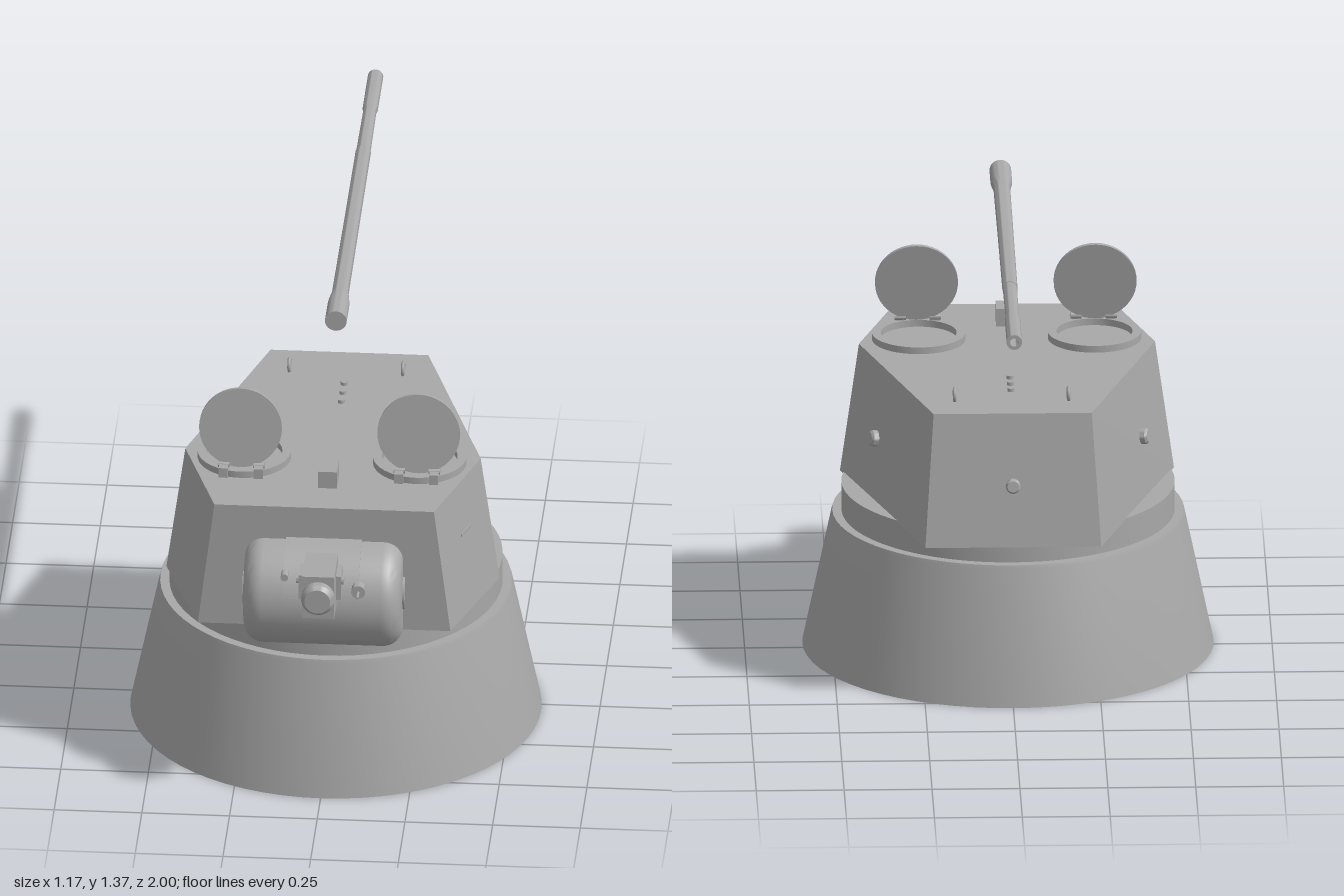
import * as THREE from 'three';
import { toCreasedNormals } from 'three/addons/utils/BufferGeometryUtils.js';
import { ConvexGeometry } from 'three/addons/geometries/ConvexGeometry.js';

export function createModel() {
  const model = new THREE.Group();
  const steel = new THREE.MeshStandardMaterial({ color: 0xa8a8a8 });
  steel.name = 'grey steel';

  const add = (name, geometry, x = 0, y = 0, z = 0, parent = model) => {
    const mesh = new THREE.Mesh(geometry, steel);
    mesh.name = name;
    mesh.position.set(x, y, z);
    parent.add(mesh);
    return mesh;
  };
  const box = (w, h, d) => new THREE.BoxGeometry(w, h, d);
  // Profile of [radius, height] pairs turned around y
  const lathe = (points, sides = 48) => toCreasedNormals(
    new THREE.LatheGeometry(points.map(([r, h]) => new THREE.Vector2(r, h)), sides), 0.6);
  const disc = (r, h, sides = 24) => lathe([[0, -h / 2], [r, -h / 2], [r, h / 2], [0, h / 2]], sides);
  // Turn a mesh so its own y axis follows the given direction
  const aim = (mesh, x, y, z) => {
    mesh.quaternion.setFromUnitVectors(new THREE.Vector3(0, 1, 0), new THREE.Vector3(x, y, z).normalize());
    return mesh;
  };

  // Conical barbette and turret ring
  add('base', lathe([[0, 0], [0.585, 0], [0.503, 0.39], [0.5, 0.4], [0, 0.4]], 64), 0, 0, 0.288);
  add('turretRing', lathe([[0, 0.39], [0.474, 0.39], [0.474, 0.485], [0, 0.485]], 64), 0, 0, 0.288);

  // Six-sided sloped turret
  const corners = [];
  for (const side of [-1, 1]) {
    for (const [x, y, z] of [
      [0.36, 0.48, 0.738], [0.475, 0.48, 0.4], [0.25, 0.48, -0.287],
      [0.313, 0.86, 0.738], [0.421, 0.86, 0.4], [0.225, 0.86, -0.222],
    ]) corners.push(new THREE.Vector3(side * x, y, z));
  }
  add('turret', new ConvexGeometry(corners));

  // Rounded drum mantlet
  const drum = [[0, -0.225]];
  for (let i = 0; i <= 8; i++) {
    const a = (i / 8) * Math.PI / 2;
    drum.push([0.107 + 0.055 * Math.sin(a), -0.17 - 0.055 * Math.cos(a)]);
  }
  for (let i = drum.length - 1; i >= 0; i--) drum.push([drum[i][0], -drum[i][1]]);
  const mantlet = new THREE.Group();
  mantlet.name = 'mantlet';
  mantlet.position.set(0, 0.597, 0.718);
  model.add(mantlet);
  add('drum', lathe(drum, 48).rotateZ(-Math.PI / 2), 0, 0, 0, mantlet);
  for (const side of [-1, 1]) {
    aim(add('trunnionCap', disc(0.055, 0.012), side * 0.225, 0, 0, mantlet), 1, 0, 0);
  }

  // Curved cover plate over the upper front of the drum
  const cover = new THREE.Shape();
  cover.absarc(0, 0, 0.168, 0.26, 1.5, false);
  cover.absarc(0, 0, 0.155, 1.5, 0.26, true);
  const coverGeometry = new THREE.ExtrudeGeometry(cover, { depth: 0.216, bevelEnabled: false, curveSegments: 16 });
  coverGeometry.translate(0, 0, -0.108).rotateY(-Math.PI / 2);
  add('coverPlate', toCreasedNormals(coverGeometry, 0.6), 0, 0, 0, mantlet);

  // Gun cradle block and stub
  add('cradle', box(0.092, 0.132, 0.15), 0, 0.692, 0.892);
  aim(add('gunStub', lathe([[0, 0], [0.047, 0], [0.047, 0.028], [0.037, 0.04], [0, 0.04]], 32), 0, 0.695, 0.96), 0, 0, 1);
  for (const side of [-1, 1]) {
    add('cradleLug', box(0.016, 0.075, 0.075), side * 0.053, 0.692, 0.868);
    aim(add('lugBolt', disc(0.012, 0.012, 12), side * 0.062, 0.71, 0.89), 1, 0, 0);
  }
  aim(add('machineGunCollar', disc(0.02, 0.03), 0.108, 0.672, 0.873), 0, 0, 1);
  aim(add('machineGunBarrel', disc(0.004, 0.06, 10), 0.108, 0.672, 0.895), 0, 0, 1);
  aim(add('sightTube', disc(0.011, 0.035, 16), -0.103, 0.705, 0.86), 0, 0, 1);

  // Twin hatches with lids swung open
  for (const side of [-1, 1]) {
    const hatch = new THREE.Group();
    hatch.name = 'hatch';
    hatch.position.set(side * 0.25, 0.86, 0.437);
    model.add(hatch);
    add('hatchRim', lathe([[0.108, 0], [0.133, 0], [0.133, 0.02], [0.108, 0.02], [0.108, 0]]), 0, 0, 0, hatch);
    aim(add('hatchLid', disc(0.118, 0.011, 48), side * 0.004, 0.14, 0.09, hatch), 0, 0.15, 1);
    for (const x of [-0.05, 0.05]) {
      add('hinge', box(0.026, 0.03, 0.038), x, 0.018, 0.122, hatch);
      aim(add('hingePin', disc(0.009, 0.032, 12), x, 0.03, 0.108, hatch), 1, 0, 0);
    }

    // Lifting eyes near the rear of the roof
    const eye = new THREE.TorusGeometry(0.018, 0.005, 8, 24).rotateY(Math.PI / 2);
    add('liftingEye', eye, side * 0.162, 0.877, -0.102);

    // Side pistol ports
    aim(add('sidePort', lathe([[0, -0.01], [0.023, -0.01], [0.023, 0.014], [0.017, 0.02], [0, 0.02]], 24),
      side * 0.378, 0.655, 0.168), side * 0.95, 0.14, -0.31);
  }

  // Roof and rear fittings
  add('periscope', box(0.054, 0.054, 0.074), 0, 0.885, 0.578);
  for (const z of [0.085, 0.03, -0.025]) add('roofBolt', disc(0.01, 0.012, 16), 0, 0.864, z);
  aim(add('rearPort', lathe([[0, -0.01], [0.021, -0.01], [0.021, 0.014], [0.016, 0.02], [0, 0.02]], 24),
    0, 0.655, -0.258), 0, 0.17, -1);

  // Vision slit on the left cheek
  const slit = add('visionSlit', box(0.008, 0.009, 0.07), 0.389, 0.712, 0.56);
  slit.rotation.y = -0.32;

  // Separate long barrel with a hollow muzzle
  const barrel = [
    [0, -0.9], [0.012, -0.9], [0.012, -1], [0.022, -1], [0.022, -0.8], [0.019, -0.78], [0.0205, -0.53],
    [0.022, -0.53], [0.0225, -0.19], [0.024, 0.34], [0.03, 0.39], [0.031, 0.405], [0.031, 0.508], [0, 0.508],
  ];
  add('barrel', lathe(barrel, 32).rotateX(Math.PI / 2), 0.016, 1.341, 0);

  return model;
}
